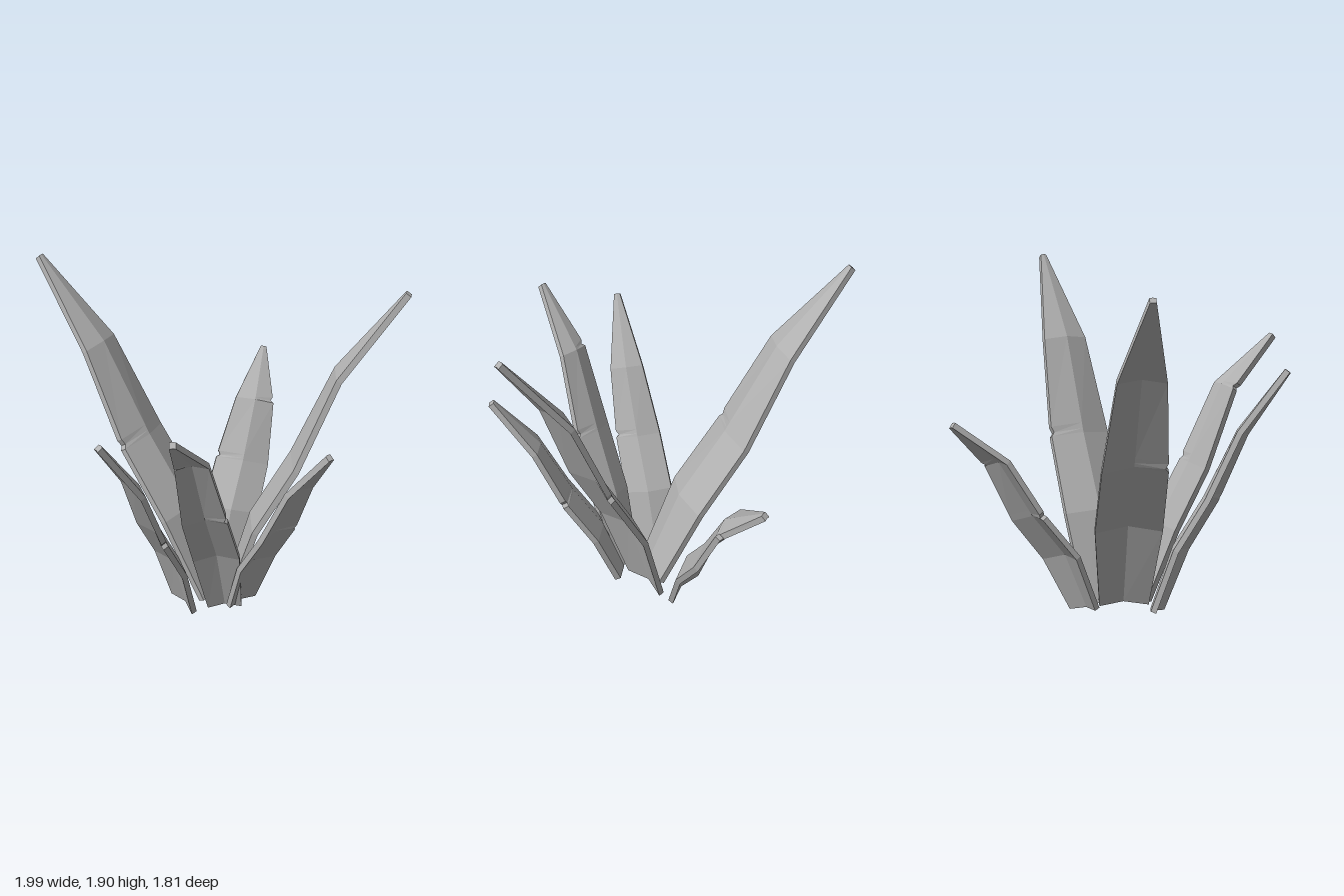
import * as THREE from 'three';

const HALF_THICK = 0.016;
const TIP_WIDTH = 0.016;
const RIDGES = [0.26, 0.28, 0.28, 0.24, 0.22]; // midrib fold per station, relative to the half width

// One blade: near straight from base to bend, then a taper to the tip.
// roll turns the blade about its length; notches: [station, edge] nicks in the outline.
function leafGeometry(base, bend, tip, width, roll, notches) {
  const [p0, p1, p2] = [base, bend, tip].map((p) => new THREE.Vector3(...p));
  const axis = p1.clone().sub(p0).normalize();
  const level = new THREE.Vector3(p2.z - p0.z, 0, p0.x - p2.x).normalize();
  const inward = axis.clone().cross(level).normalize();
  const side = level.clone().applyAxisAngle(axis, roll);
  // The lower third stands steeper than the rest
  const knee = p0.clone().lerp(p1, 1 / 3).addScaledVector(inward, 0.26 * width);
  const centres = [p0, knee, p0.clone().lerp(p1, 0.63), p1, p2];
  const widths = [0.75 * width, width, 0.95 * width, 0.69 * width, TIP_WIDTH];
  const rings = [];

  // Folded six-point section: three points under, three on top
  const addRing = (centre, normal, left, right, ridge) => {
    const fold = ridge * Math.max(left, right) / 2;
    const across = [[-left, -fold], [0, fold], [right, -fold]];
    const under = across.map(([u, v]) => [u, v - HALF_THICK]);
    const top = across.map(([u, v]) => [u, v + HALF_THICK]).reverse();
    rings.push([...under, ...top].map(([u, v]) =>
      centre.clone().addScaledVector(side, u).addScaledVector(normal, v)));
  };

  centres.forEach((centre, i) => {
    const tangent = centres[Math.min(i + 1, 4)].clone().sub(centres[Math.max(i - 1, 0)]);
    const normal = tangent.cross(side).normalize();
    addRing(centre, normal, widths[i], widths[i], RIDGES[i]);
    const notch = notches.find(([station]) => station === i);
    if (notch) {
      // Dip one edge inward, then return to the blade outline
      for (const [t, dip] of [[0.04, 0.016], [0.1, 0]]) {
        const c = centre.clone().lerp(centres[i + 1], t);
        const w = THREE.MathUtils.lerp(widths[i], widths[i + 1], t);
        addRing(c, normal, w - (notch[1] < 0 ? dip : 0), w - (notch[1] > 0 ? dip : 0), RIDGES[i]);
      }
    }
  });

  const positions = [];
  const quad = (a, b, c, d) => [a, b, c, a, c, d].forEach((p) => positions.push(p.x, p.y, p.z));
  for (let k = 0; k < rings.length - 1; k++) {
    for (let i = 0; i < 6; i++) {
      const j = (i + 1) % 6;
      quad(rings[k][i], rings[k][j], rings[k + 1][j], rings[k + 1][i]);
    }
  }
  // Base and tip caps
  const b = rings[0], e = rings[rings.length - 1];
  quad(b[5], b[4], b[1], b[0]);
  quad(b[4], b[3], b[2], b[1]);
  quad(e[0], e[1], e[4], e[5]);
  quad(e[1], e[2], e[3], e[4]);

  const geometry = new THREE.BufferGeometry();
  geometry.setAttribute('position', new THREE.Float32BufferAttribute(positions, 3));
  geometry.computeVertexNormals();
  return geometry;
}

export function createModel() {
  const plant = new THREE.Group();
  plant.name = 'plant';
  const leafGrey = new THREE.MeshStandardMaterial({ color: 0xb0b0b0, flatShading: true });
  leafGrey.name = 'leaf grey';

  const addLeaf = (name, base, bend, tip, width, roll = 0, notches = [[2, 1]]) => {
    const mesh = new THREE.Mesh(leafGeometry(base, bend, tip, width, roll, notches), leafGrey);
    mesh.name = name;
    plant.add(mesh);
  };

  // Rosette of six blades: base, bend, tip, half width, roll
  addLeaf('leftLeaf', [0.14, 0.06, 0.02], [-0.6, 1.37, 0.04], [-0.98, 1.78, 0.05], 0.18);
  addLeaf('tallRightLeaf', [0.18, 0.05, -0.06], [0.685, 1.45, -0.26], [0.98, 1.9, -0.37], 0.182);
  addLeaf('frontLeaf', [0.045, 0.035, 0.185], [0.06, 1.0, 0.645], [0.03, 1.33, 0.885], 0.13, -0.36);
  addLeaf('backLeaf', [0.03, 0.065, -0.19], [-0.055, 0.88, -0.65], [-0.15, 1.09, -0.885], 0.155, 0.36, [[2, 1], [3, -1]]);
  addLeaf('frontRightLeaf', [0.25, 0.06, 0.11], [0.37, 1.21, 0.6], [0.455, 1.48, 0.88], 0.122, 0.28, [[2, 1], [3, -1]]);
  addLeaf('rightLeaf', [0.31, 0.08, 0.055], [0.71, 0.97, 0.165], [0.915, 1.25, 0.23], 0.122);
  return plant;
}
